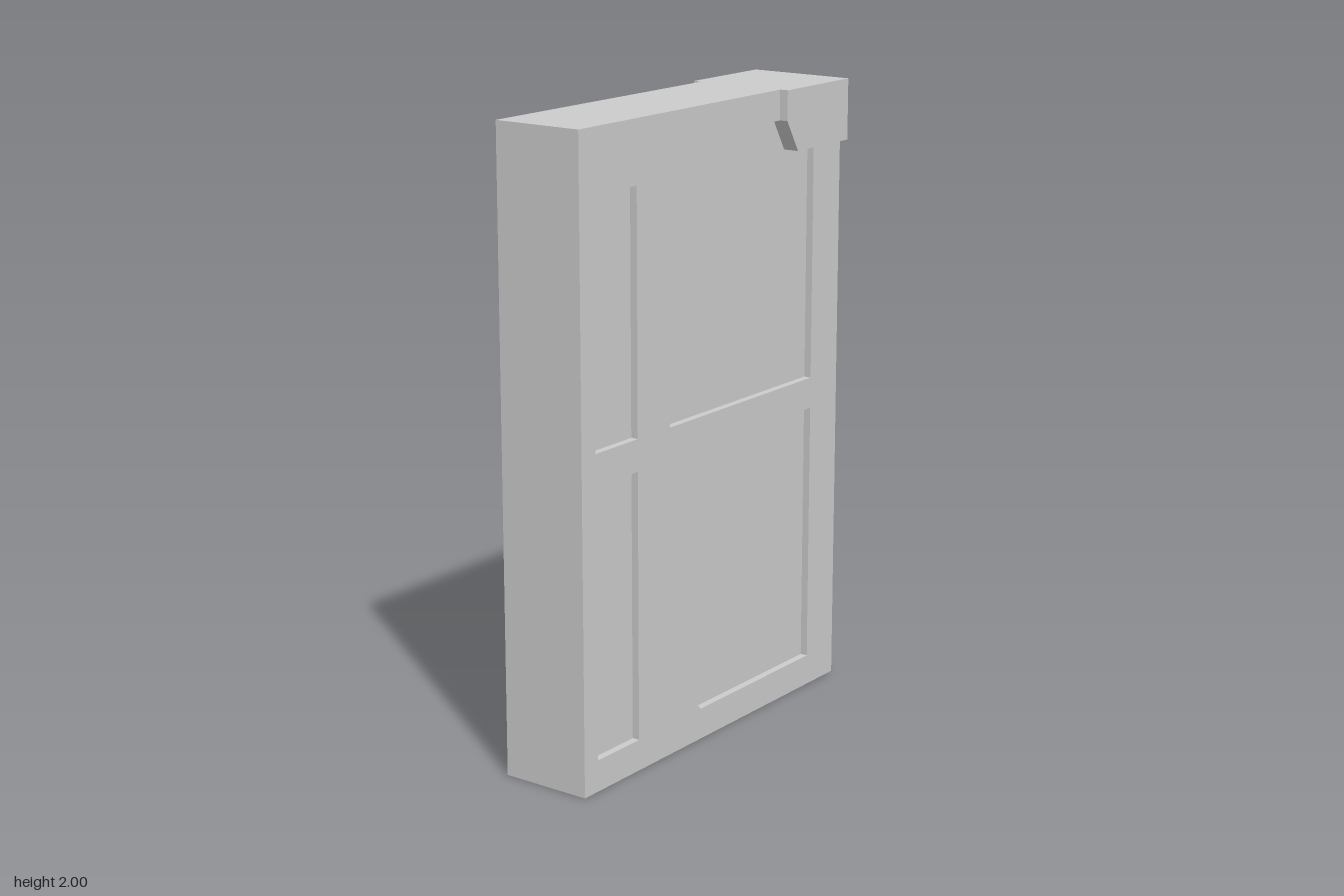
import * as THREE from 'three';

const HALF_W = 0.665, HEIGHT = 2, DEPTH = 0.3, RECESS = 0.024, CAP_DEPTH = 0.356;

const points = (list) => list.map(([x, y]) => new THREE.Vector2(x, y));
const rect = (x0, y0, x1, y1) => [[x0, y0], [x1, y0], [x1, y1], [x0, y1]];

// Extrudes an outline, with optional holes, centred on z = 0.
function slab(name, outline, depth, material, holes = []) {
  const shape = new THREE.Shape(points(outline));
  for (const hole of holes) shape.holes.push(new THREE.Path(points(hole)));
  const geometry = new THREE.ExtrudeGeometry(shape, { depth, bevelEnabled: false });
  geometry.translate(0, 0, -depth / 2);
  const mesh = new THREE.Mesh(geometry, material);
  mesh.name = name;
  return mesh;
}

export function createModel() {
  const group = new THREE.Group();
  group.name = 'panelledSlab';
  const material = new THREE.MeshStandardMaterial({ color: 0xcccccc, flatShading: true });

  // Panel outlines, shared by the openings in the frame and the recessed infill
  const panels = {
    lowerNarrowPanel: rect(-0.6, 0.1, -0.4, 0.95),
    upperNarrowPanel: rect(-0.6, 1.05, -0.4, 1.805),
    lowerWidePanel: [[-0.08, 0.1], [0.515, 0.1], [0.515, 0.95], [-0.24, 0.95], [-0.24, 0.26]],
    upperWidePanel: [[-0.24, 1.05], [0.515, 1.05], [0.515, 1.82], [0.36, 1.905], [-0.08, 1.905], [-0.24, 1.805]],
  };

  // Outer frame with four openings
  group.add(slab('frame', rect(-HALF_W, 0, HALF_W, HEIGHT), DEPTH, material, Object.values(panels)));

  // Infill, set back from both faces
  for (const [name, outline] of Object.entries(panels)) {
    group.add(slab(name, outline, DEPTH - 2 * RECESS, material));
  }

  // Corner cap, proud of both faces
  const cap = [[0.385, 1.805], [HALF_W, 1.805], [HALF_W, HEIGHT], [0.325, HEIGHT], [0.325, 1.905]];
  group.add(slab('cornerCap', cap, CAP_DEPTH, material));

  return group;
}
